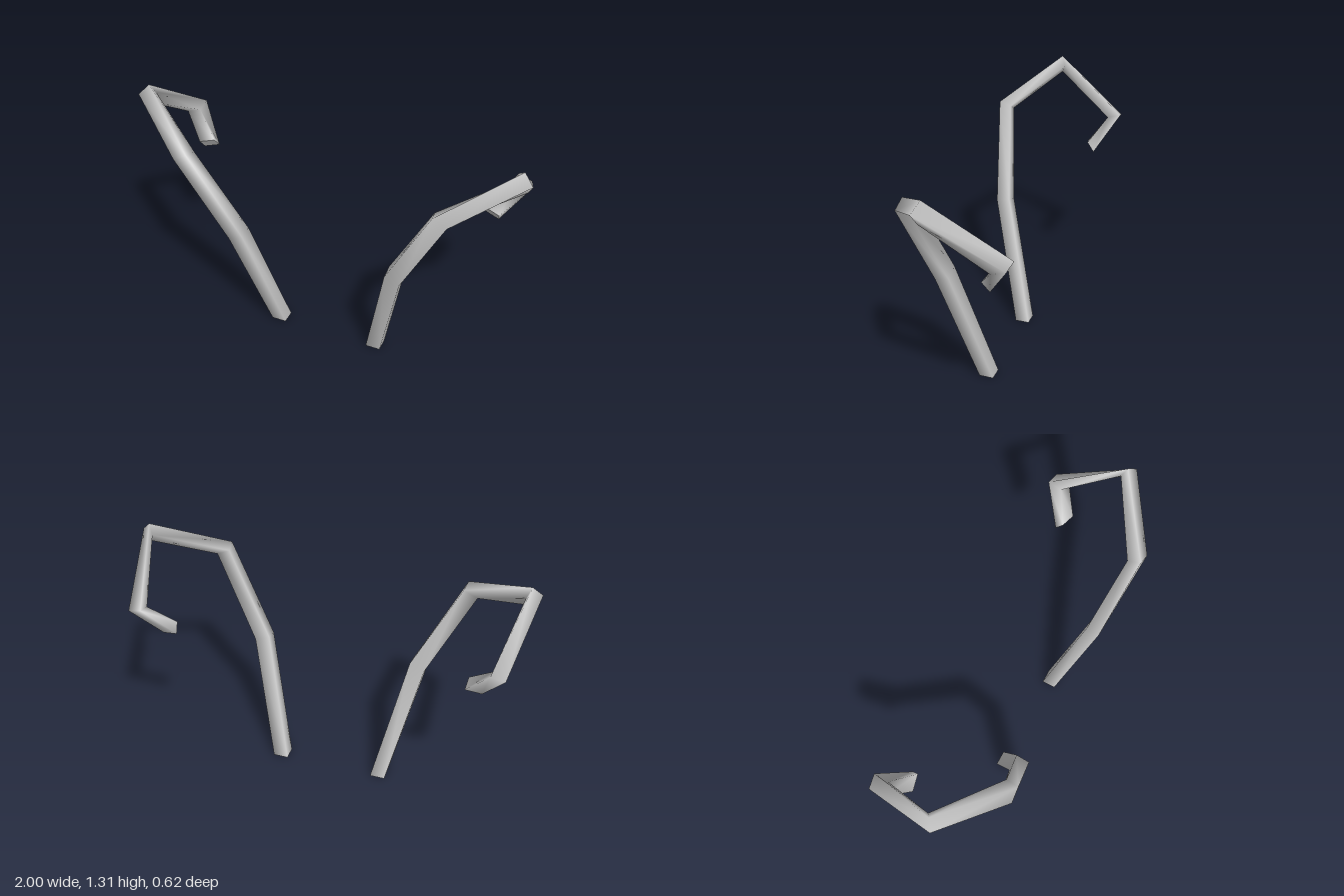
import * as THREE from 'three';

// Each cross-section of the bent square tube: centre, then two half-diagonals a and b.
const SECTIONS = [
  [[0.275, 0, 0.037], [0.039, 0, 0.037], [-0.039, 0, 0.037]],
  [[0.42, 0.645, 0.2], [0.039, -0.022, 0.035], [-0.039, 0.007, 0.035]],
  [[0.65, 1.1, 0.275], [0.04, -0.01, 0.035], [-0.03, 0.025, 0.03]],
  [[0.964, 1.256, 0.06], [0.036, 0, 0.025], [-0.013, 0.05, -0.003]],
  [[0.887, 1.02, -0.27], [0.035, 0, -0.03], [-0.035, 0.02, -0.04]],
  [[0.772, 0.872, -0.173], [0.036, -0.034, -0.01], [-0.044, -0.014, -0.027]],
];

// Four corners of a section, mirrored in x when side is -1.
function corners([c, a, b], side) {
  const centre = new THREE.Vector3(...c);
  const va = new THREE.Vector3(...a);
  const vb = new THREE.Vector3(...b);
  const ring = [[va, 1], [vb, 1], [va, -1], [vb, -1]].map(([v, s]) => {
    const p = centre.clone().addScaledVector(v, s);
    p.x *= side;
    return p;
  });
  return side < 0 ? ring.reverse() : ring;
}

function geometryFrom(points, index) {
  const geometry = new THREE.BufferGeometry().setFromPoints(points);
  geometry.setIndex(index);
  geometry.computeVertexNormals();
  return geometry;
}

// One horn: a smooth-shaded skin between the sections, with flat ends.
function createHorn(side, material) {
  const rings = SECTIONS.map((section) => corners(section, side));
  const index = [];
  for (let i = 0; i < rings.length - 1; i++) {
    for (let j = 0; j < 4; j++) {
      const p = i * 4 + j;
      const q = i * 4 + ((j + 1) % 4);
      index.push(p, p + 4, q + 4, p, q + 4, q);
    }
  }
  const shaft = new THREE.Mesh(geometryFrom(rings.flat(), index), material);
  shaft.name = 'shaft';

  const base = new THREE.Mesh(geometryFrom(rings[0], [0, 1, 2, 0, 2, 3]), material);
  base.name = 'baseCap';
  const tip = new THREE.Mesh(geometryFrom(rings[rings.length - 1], [0, 2, 1, 0, 3, 2]), material);
  tip.name = 'tipCap';

  const horn = new THREE.Group();
  horn.name = side > 0 ? 'leftHorn' : 'rightHorn';
  horn.add(shaft, base, tip);
  return horn;
}

export function createModel() {
  const material = new THREE.MeshStandardMaterial({ color: 0xcccccc });
  const model = new THREE.Group();
  model.name = 'horns';
  for (const side of [1, -1]) model.add(createHorn(side, material));
  return model;
}
